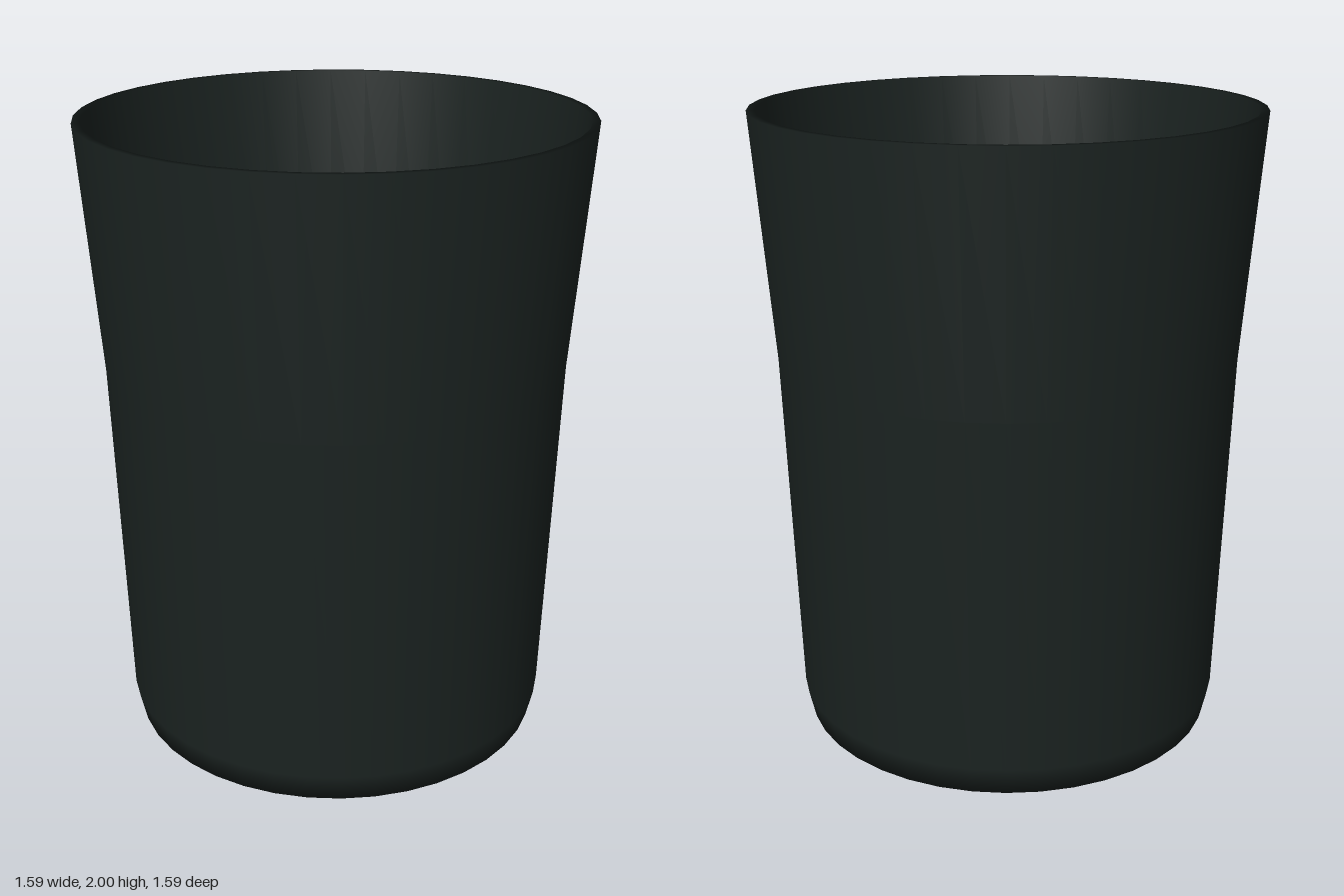
import * as THREE from 'three';

export function createModel() {
  const group = new THREE.Group();
  group.name = 'tumbler';

  // Closed wall profile: underside, flared outside, rim, inside, floor, drain hole
  const profile = [
    [0.02, 0], [0.672, 0], [0.693, 0.09], [0.733, 1.22], [0.794, 2],
    [0.77, 2], [0.709, 1.22], [0.67, 0.1], [0.65, 0.03], [0.02, 0.03], [0.02, 0],
  ].map(([r, y]) => new THREE.Vector2(r, y));

  const cup = new THREE.Mesh(
    new THREE.LatheGeometry(profile, 40),
    new THREE.MeshStandardMaterial({ color: 0x1b2321, side: THREE.DoubleSide }),
  );
  cup.name = 'cup';
  group.add(cup);
  return group;
}
